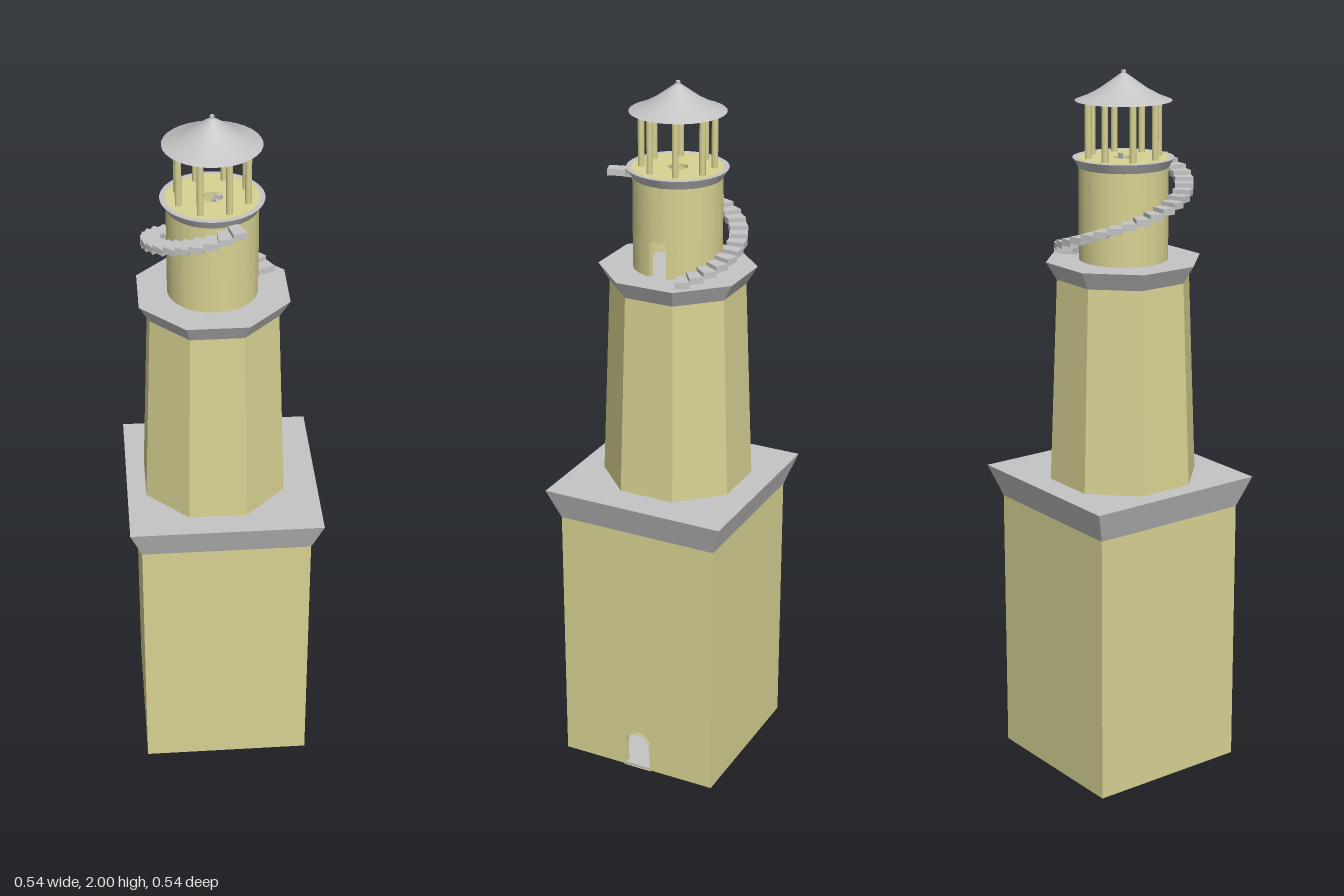
import * as THREE from 'three';
import { toCreasedNormals } from 'three/addons/utils/BufferGeometryUtils.js';

const AXIS = -0.021; // x of the tower's axis
const stone = new THREE.MeshStandardMaterial({ color: 0xd8d292, side: THREE.DoubleSide });
stone.name = 'sandstone';
const grey = new THREE.MeshStandardMaterial({ color: 0xc4c4c4, side: THREE.DoubleSide });
grey.name = 'greyStone';

export function createModel() {
  const root = new THREE.Group();
  root.name = 'lighthouse';

  function add(name, geo, mat, x = 0, y = 0, z = 0, parent = root) {
    const m = new THREE.Mesh(geo, mat);
    m.name = name;
    m.position.set(x, y, z);
    parent.add(m);
    return m;
  }

  // Tapered prism with flat sides facing the axes; sizes are half-widths across flats
  function prism(name, sides, bottom, top, y0, y1, mat, x) {
    const k = 1 / Math.cos(Math.PI / sides);
    const g = new THREE.CylinderGeometry(top * k, bottom * k, y1 - y0, sides).rotateY(Math.PI / sides);
    return add(name, toCreasedNormals(g, 0.3), mat, x, (y0 + y1) / 2);
  }

  // Extrudes a plan shape upwards
  const raise = (shape, h, seg = 24) =>
    new THREE.ExtrudeGeometry(shape, { depth: h, bevelEnabled: false, curveSegments: seg }).rotateX(-Math.PI / 2);

  // Winding stair of wedge-shaped steps; angles run from +x towards the back
  function stair(name, count, r0, r1, start, sweep, y0, rise, thick, x) {
    const group = new THREE.Group();
    group.name = name;
    root.add(group);
    const d = sweep / count;
    const s = new THREE.Shape([[r0, 0], [r1, 0], [r1, d], [r0, d]]
      .map(([r, a]) => new THREE.Vector2(r * Math.cos(a), r * Math.sin(a))));
    const g = raise(s, thick);
    for (let i = 0; i < count; i++) {
      add('step', g, grey, x, y0 + i * rise, 0, group).rotation.y = start + i * d;
    }
  }

  // Arched door outline
  function arch(path, w, y0, top) {
    path.moveTo(-w, y0);
    path.lineTo(w, y0);
    path.lineTo(w, top - w);
    path.absarc(0, top - w, w, 0, Math.PI, false);
    path.lineTo(-w, y0);
    return path;
  }

  // Square base, hollow, with an arched doorway on the +x side
  const H = 0.236, T = 0.02, Y0 = 0.01, Y1 = 0.78;
  for (const s of [-1, 1]) {
    add('baseWall', new THREE.BoxGeometry(2 * H, Y1 - Y0, T), stone, 0, (Y0 + Y1) / 2, s * (H - T / 2));
  }
  add('baseWall', new THREE.BoxGeometry(T, Y1 - Y0, 2 * (H - T)), stone, -H + T / 2, (Y0 + Y1) / 2, 0);
  const e = H - T;
  const wall = new THREE.Shape([[-e, Y0], [-0.04, Y0], [-0.04, 0.085]].map((p) => new THREE.Vector2(...p)));
  wall.absarc(0, 0.085, 0.04, Math.PI, 0, true);
  for (const p of [[0.04, Y0], [e, Y0], [e, Y1], [-e, Y1]]) wall.lineTo(...p);
  add('doorWall', new THREE.ExtrudeGeometry(wall, { depth: T, bevelEnabled: false }).rotateY(Math.PI / 2), stone, H - T);
  const frame = arch(new THREE.Shape(), 0.043, Y0, 0.128);
  frame.holes.push(arch(new THREE.Path(), 0.039, Y0 + 0.0005, 0.124));
  add('doorFrame', new THREE.ExtrudeGeometry(frame, { depth: 0.004, bevelEnabled: false }).rotateY(Math.PI / 2), stone, H);
  add('baseFloor', new THREE.BoxGeometry(2 * H - 0.002, 0.006, 2 * H - 0.002), grey, 0, 0.0132, 0);
  stair('baseStair', 48, 0.13, 0.187, THREE.MathUtils.degToRad(148), Math.PI * 2, 0, 0.0156, 0.018, AXIS);

  // Flared cornices and the tapering octagonal shaft
  prism('baseCornice', 4, H, 0.268, 0.78, 0.87, grey, 0);
  prism('octagonShaft', 8, 0.194, 0.173, 0.87, 1.44, stone, AXIS);
  prism('shaftCornice', 8, 0.173, 0.201, 1.44, 1.49, grey, AXIS);

  // Round drum with a rectangular doorway on the +x side
  const R = 0.122, r = 0.108, gap = 0.2;
  const open = new THREE.Shape();
  open.absarc(0, 0, R, gap, Math.PI * 2 - gap, false);
  open.absarc(0, 0, r, Math.PI * 2 - gap, gap, true);
  add('drumLower', toCreasedNormals(raise(open, 0.1, 40), 0.5), stone, AXIS, 1.49);
  const ring = new THREE.Shape().absarc(0, 0, R, 0, Math.PI * 2, false);
  ring.holes.push(new THREE.Path().absarc(0, 0, r, 0, Math.PI * 2, true));
  add('drumUpper', toCreasedNormals(raise(ring, 0.165, 40), 0.5), stone, AXIS, 1.59);

  // Gallery rim and floor with a stair hatch
  const rim = [[R, 1.742], [0.138, 1.768], [0.124, 1.768]].map((p) => new THREE.Vector2(...p));
  add('galleryRim', toCreasedNormals(new THREE.LatheGeometry(rim, 40), 0.5), grey, AXIS);
  const floor = new THREE.Shape().absarc(0, 0, 0.125, 0, Math.PI * 2, false);
  floor.holes.push(new THREE.Path().absarc(0, 0, 0.027, 0, Math.PI * 2, true));
  add('galleryFloor', raise(floor, 0.01, 40), stone, AXIS, 1.757);
  stair('drumStair', 24, 0.003, 0.025, 0, Math.PI * 4, 1.49, 0.0118, 0.014, AXIS);

  // Outer winding stair from the terrace up to the gallery
  stair('outerStair', 23, 0.14, 0.19, THREE.MathUtils.degToRad(24),
    THREE.MathUtils.degToRad(270), 1.49, 0.0113, 0.018, AXIS);

  // Lantern posts
  const post = new THREE.CylinderGeometry(0.009, 0.009, 0.16, 10);
  for (let i = 0; i < 8; i++) {
    const a = (i + 0.5) * Math.PI / 4;
    add('lanternPost', post, stone, AXIS + 0.098 * Math.cos(a), 1.847, 0.098 * Math.sin(a));
  }

  // Concave conical roof with a small finial
  const roof = [[0.131, 1.92], [0.1, 1.932], [0.065, 1.951], [0.035, 1.972], [0.007, 1.992]]
    .map((p) => new THREE.Vector2(...p));
  add('roof', new THREE.LatheGeometry(roof, 32), grey, AXIS);
  add('finial', new THREE.CylinderGeometry(0.006, 0.007, 0.01, 8), grey, AXIS, 1.995);

  return root;
}
